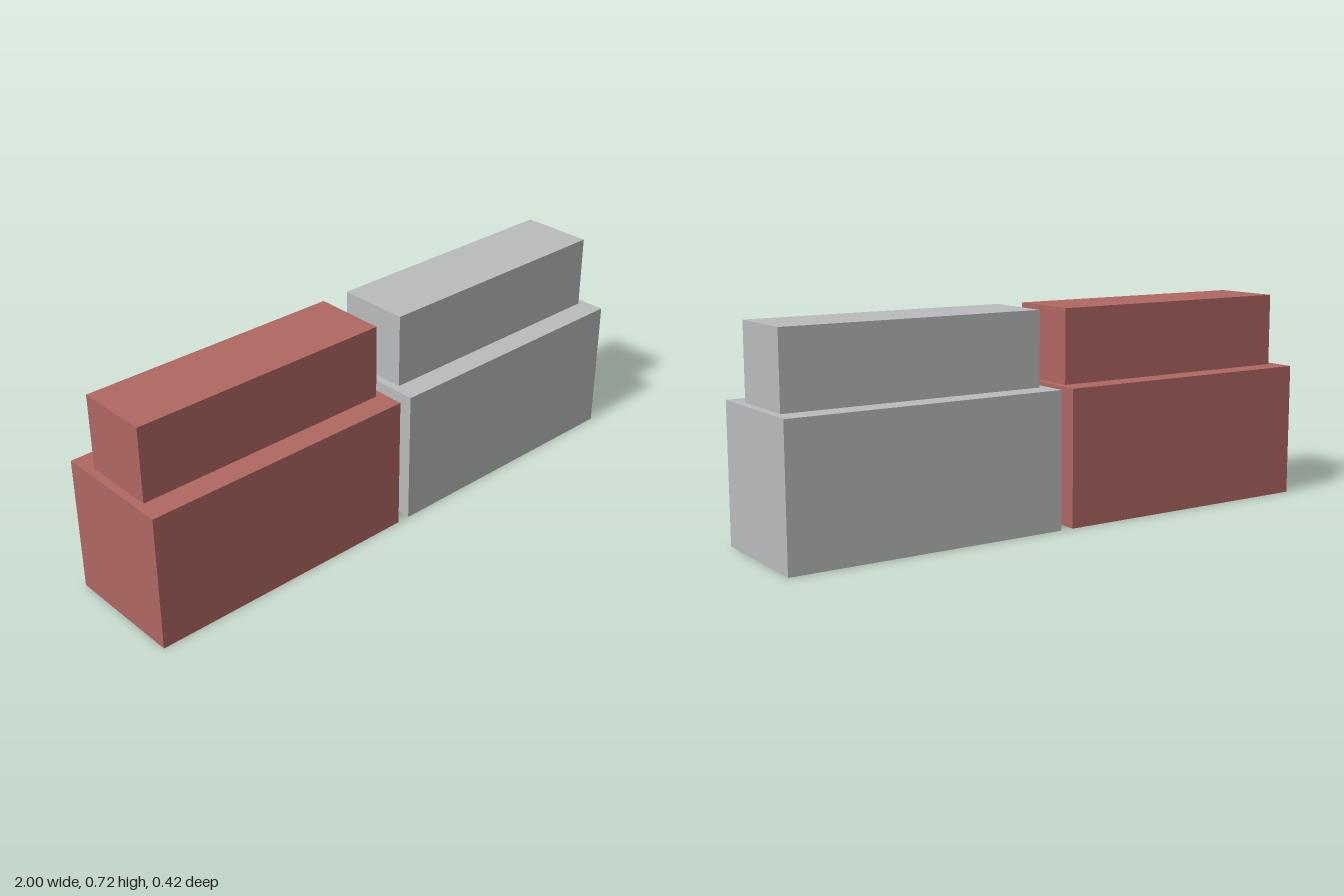
import * as THREE from 'three';

export function createModel() {
  const model = new THREE.Group();
  model.name = 'steppedBlocks';
  const red = new THREE.MeshStandardMaterial({ color: 0xb06762 });
  red.name = 'brick red';
  const grey = new THREE.MeshStandardMaterial({ color: 0xb9bbbc });
  grey.name = 'light grey';

  const baseHeight = 0.469, topHeight = 0.255;
  const baseGeometry = new THREE.BoxGeometry(0.977, baseHeight, 0.424);
  const topGeometry = new THREE.BoxGeometry(0.92, topHeight, 0.255);

  // Each block is a wide base with a narrower upper step
  for (const [name, side, material] of [['rightBlock', -1, red], ['leftBlock', 1, grey]]) {
    const block = new THREE.Group();
    block.name = name;
    block.position.x = side * 0.5115;

    const base = new THREE.Mesh(baseGeometry, material);
    base.name = 'base';
    base.position.y = baseHeight / 2;

    const upper = new THREE.Mesh(topGeometry, material);
    upper.name = 'upperStep';
    upper.position.y = baseHeight + topHeight / 2;

    block.add(base, upper);
    model.add(block);
  }
  return model;
}
